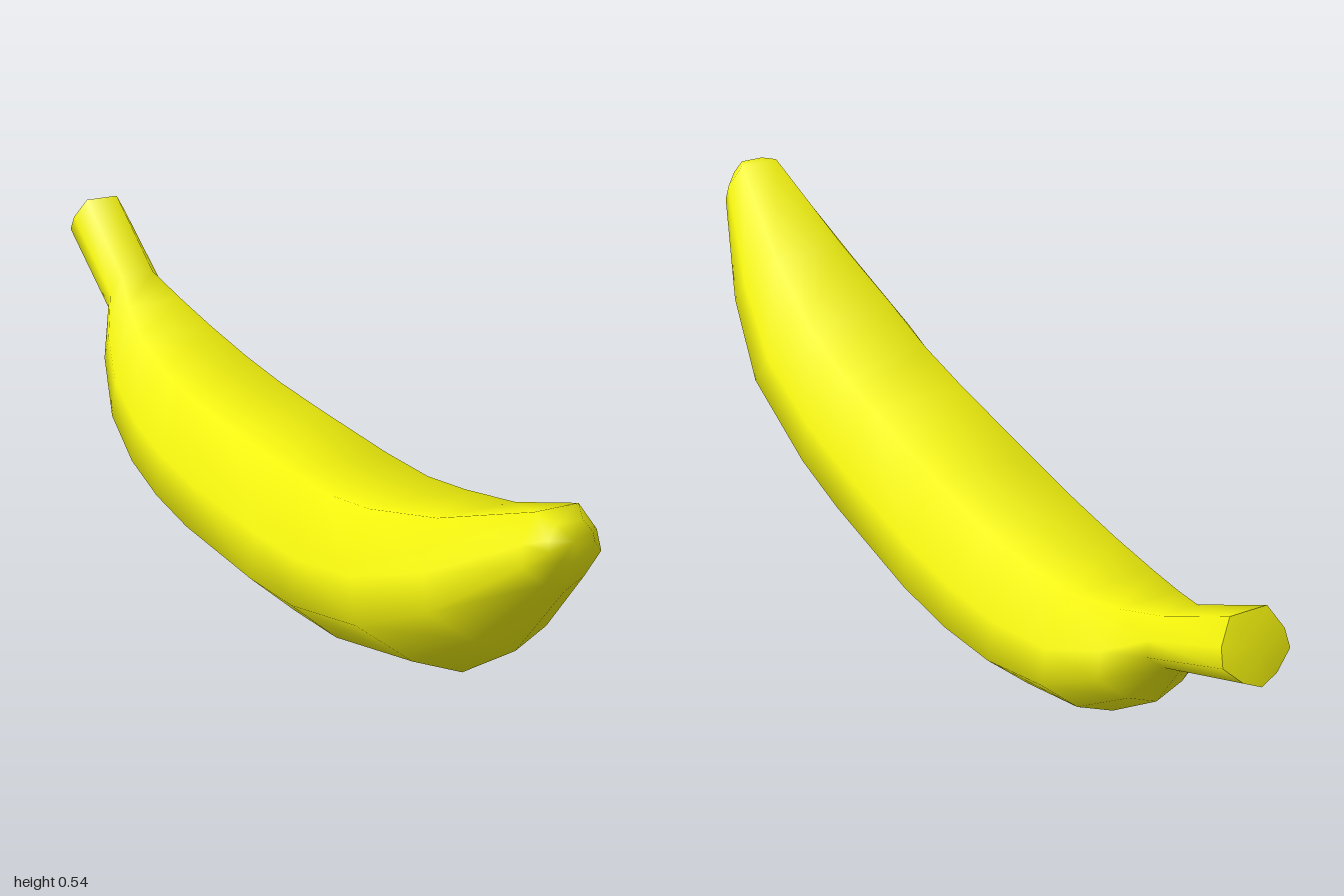
import * as THREE from 'three';

// Rings from blossom tip to stem: bottom z, bottom y, top z, top y, half width
const RINGS = [
  [1.0, 0.475, 0.985, 0.54, 0.042],
  [0.98, 0.42, 0.945, 0.548, 0.072],
  [0.84, 0.25, 0.70, 0.445, 0.135],
  [0.67, 0.13, 0.50, 0.385, 0.172],
  [0.37, 0.04, 0.36, 0.355, 0.177],
  [0.20, 0.018, 0.20, 0.34, 0.179],
  [-0.10, 0.003, -0.08, 0.326, 0.18],
  [-0.25, 0.01, -0.25, 0.322, 0.176],
  [-0.40, 0.03, -0.40, 0.328, 0.166],
  [-0.56, 0.08, -0.55, 0.346, 0.145],
  [-0.70, 0.19, -0.66, 0.375, 0.108],
  [-0.77, 0.30, -0.755, 0.41, 0.065],
  [-1.0, 0.41, -0.95, 0.525, 0.063],
];

// Half of the ridged cross-section: share of half width, share of height
const HALF = [[0.5, 0.12], [1, 0.38], [0.94, 0.65], [0.55, 1]];
const SECTION = [[0, 0], ...HALF, ...HALF.map(([x, h]) => [-x, h]).reverse()];
const N = SECTION.length;

function ringPoints([bz, by, tz, ty, w]) {
  return SECTION.map(([x, h]) => [x * w, by + (ty - by) * h, bz + (tz - bz) * h]);
}

function makeMesh(name, points, index, material) {
  const geometry = new THREE.BufferGeometry();
  geometry.setAttribute('position', new THREE.Float32BufferAttribute(points.flat(), 3));
  geometry.setIndex(index);
  geometry.computeVertexNormals();
  const mesh = new THREE.Mesh(geometry, material);
  mesh.name = name;
  return mesh;
}

export function createModel() {
  const group = new THREE.Group();
  group.name = 'banana';
  const material = new THREE.MeshStandardMaterial({ color: 0xf2f20d });

  // Curved peel with its stem, rounded over at the blossom tip
  const points = RINGS.flatMap(ringPoints);
  const index = [];
  for (let i = 0; i < RINGS.length - 1; i++) {
    for (let j = 0; j < N; j++) {
      const a = i * N + j, b = i * N + (j + 1) % N;
      index.push(a, a + N, b, b, a + N, b + N);
    }
  }
  const tip = points.length;
  points.push([0, 0.512, 1.0]);
  for (let j = 0; j < N; j++) index.push(tip, j, (j + 1) % N);
  group.add(makeMesh('peel', points, index, material));

  // Cut face at the end of the stem, with a crisp edge
  const cut = ringPoints(RINGS[RINGS.length - 1]);
  cut.push([0, 0.476, -0.982]);
  const cutIndex = [];
  for (let j = 0; j < N; j++) cutIndex.push(N, (j + 1) % N, j);
  group.add(makeMesh('stemCut', cut, cutIndex, material));

  return group;
}
